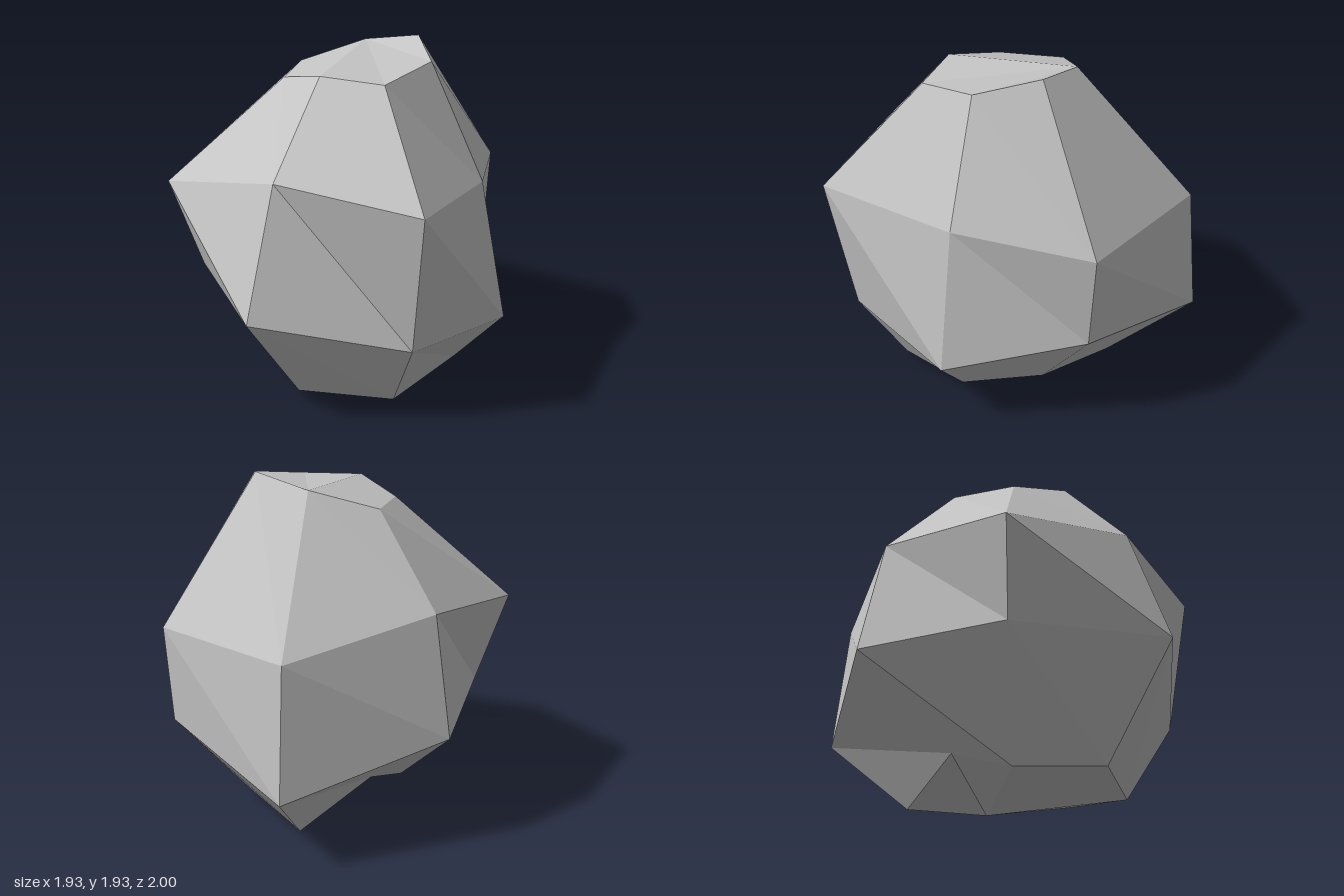
import * as THREE from 'three';

// Four seven-sided cross-sections of the boulder, top to bottom.
// Each goes round from +x towards +z.
const rings = [
  [[0.405, 1.93, 0], [0.26, 1.86, 0.335], [-0.11, 1.8, 0.44], [-0.34, 1.82, 0.165],
    [-0.37, 1.75, -0.175], [-0.11, 1.76, -0.445], [0.245, 1.87, -0.31]],
  [[0.965, 1.135, 0], [0.452, 1.21, 0.575], [-0.235, 1.263, 1], [-0.73, 1.345, 0.35],
    [-0.97, 1.167, -0.465], [-0.208, 1.285, -0.87], [0.655, 1.14, -0.828]],
  [[0.925, 0.588, 0], [0.547, 0.413, 0.698], [-0.2, 0.463, 0.865], [-0.963, 0.645, 0.46],
    [-0.811, 0.655, -0.39], [-0.233, 0.63, -1], [0.703, 0.41, -0.886]],
  [[0.465, 0.037, 0], [0.372, 0.113, 0.48], [-0.14, 0.033, 0.6], [-0.56, 0.057, 0.27],
    [-0.43, 0.035, -0.207], [-0.095, 0.183, -0.42], [0.4, 0, -0.5]],
];

function boulderGeometry() {
  const positions = [];
  const tri = (a, b, c) => positions.push(...a, ...b, ...c);
  const n = rings[0].length;

  // Faceted side bands, two triangles per side
  for (let r = 0; r < rings.length - 1; r++) {
    const up = rings[r], low = rings[r + 1];
    for (let k = 0; k < n; k++) {
      const next = (k + 1) % n;
      tri(up[k], up[next], low[k]);
      tri(up[next], low[next], low[k]);
    }
  }

  // Top cap fans from its last corner, bottom cap from its first
  const top = rings[0], bottom = rings[rings.length - 1];
  for (let k = 1; k < n - 1; k++) {
    tri(top[n - 1], top[k], top[k - 1]);
    tri(bottom[0], bottom[k], bottom[k + 1]);
  }

  const geometry = new THREE.BufferGeometry();
  geometry.setAttribute('position', new THREE.Float32BufferAttribute(positions, 3));
  geometry.computeVertexNormals(); // unshared corners give flat facets
  return geometry;
}

export function createModel() {
  const stone = new THREE.MeshStandardMaterial({ color: 0xc4c4c4 });
  stone.name = 'stone grey';

  const boulder = new THREE.Mesh(boulderGeometry(), stone);
  boulder.name = 'boulder';

  const group = new THREE.Group();
  group.name = 'rock';
  group.add(boulder);
  return group;
}
